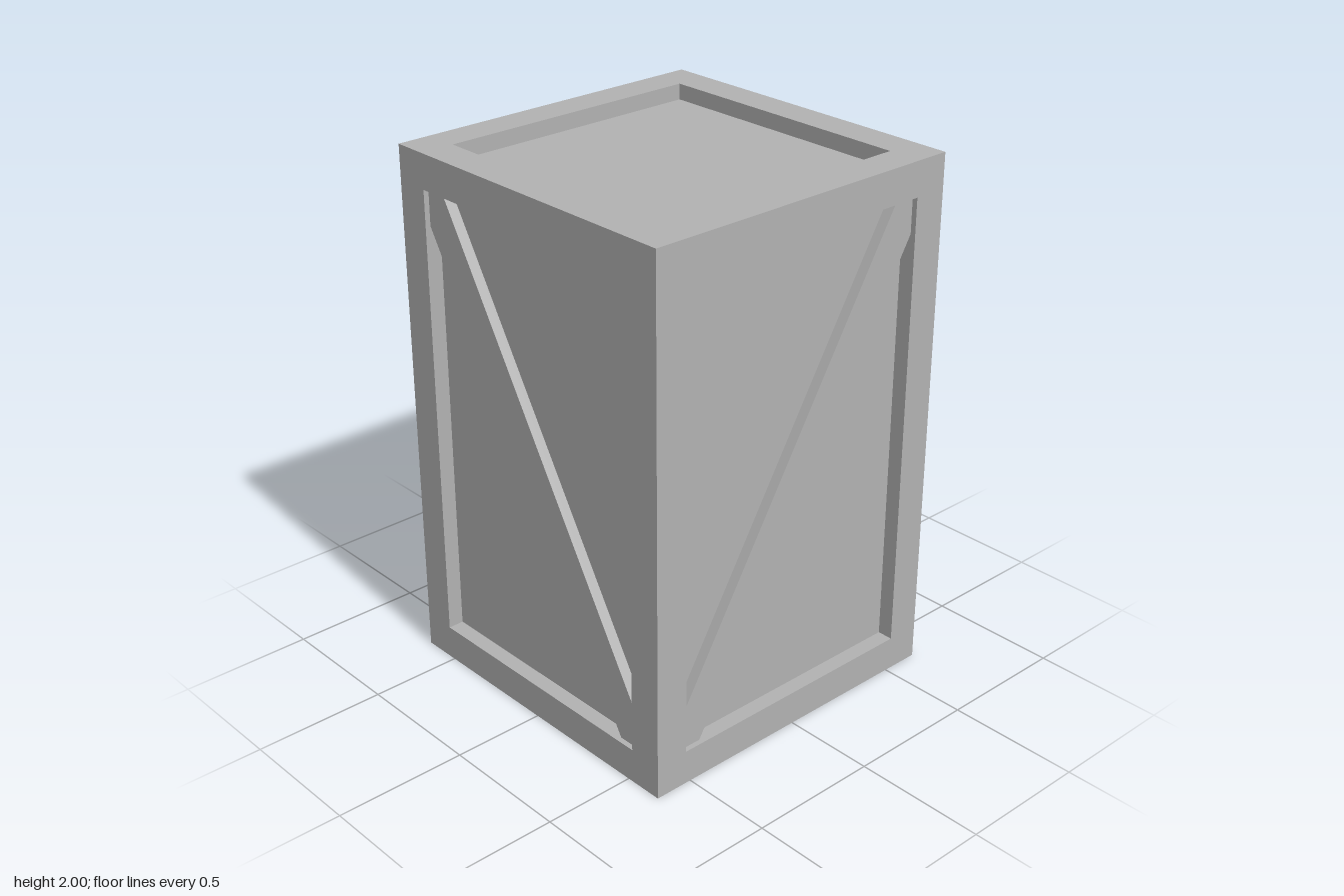
import * as THREE from 'three';

const HALF = 0.65, HEIGHT = 2, RIM = 0.13, DEPTH = 0.06, BRACE_INSET = 0.02;

function rectangle(Type, w, h) {
  return new Type([[-w, -h], [w, -h], [w, h], [-w, h]].map(([x, y]) => new THREE.Vector2(x, y)));
}

// One side of the open-bottomed shell: flat rim, sunken panel and optional diagonal brace.
// Built in the xy plane, centred, with the outside facing +z.
function makeSide(name, h, withBrace, material) {
  const side = new THREE.Group();
  side.name = name;
  const add = (partName, geometry) => {
    const mesh = new THREE.Mesh(geometry, material);
    mesh.name = partName;
    side.add(mesh);
    return mesh;
  };
  const iw = HALF - RIM, ih = h - RIM;

  // Flat rim
  const rim = rectangle(THREE.Shape, HALF, h);
  rim.holes.push(rectangle(THREE.Path, iw, ih));
  add('rim', new THREE.ShapeGeometry(rim));

  // Sunken panel
  add('panel', new THREE.PlaneGeometry(2 * iw, 2 * ih)).position.z = -DEPTH;

  // Four inner edges joining the rim to the panel
  for (const s of [-1, 1]) {
    const upright = add('sideReveal', new THREE.PlaneGeometry(DEPTH, 2 * ih));
    upright.position.set(s * iw, 0, -DEPTH / 2);
    upright.rotation.y = -s * Math.PI / 2;
    const ledge = add('endReveal', new THREE.PlaneGeometry(2 * iw, DEPTH));
    ledge.position.set(0, s * ih, -DEPTH / 2);
    ledge.rotation.x = s * Math.PI / 2;
  }

  // Diagonal brace from upper left to lower right, trimmed to the opening
  if (withBrace) {
    const cutX = 0.44, cutY = ih - 0.135;
    const half = [[-iw, cutY], [-iw, ih], [-cutX, ih]];
    const outline = [...half, ...half.map(([x, y]) => [-x, -y])];
    const shape = new THREE.Shape(outline.map(([x, y]) => new THREE.Vector2(x, y)));
    const brace = add('brace', new THREE.ExtrudeGeometry(shape, {
      depth: DEPTH - BRACE_INSET, bevelEnabled: false,
    }));
    brace.position.z = -DEPTH;
  }
  return side;
}

export function createModel() {
  const model = new THREE.Group();
  model.name = 'crate';
  const grey = new THREE.MeshStandardMaterial({ color: 0xb2b2b2, side: THREE.DoubleSide });
  grey.name = 'grey';

  // Four walls; the braces on the front and back mirror those on the sides
  ['front', 'right', 'back', 'left'].forEach((name, i) => {
    const wall = makeSide(name + 'Wall', HEIGHT / 2, true, grey);
    const angle = i * Math.PI / 2;
    wall.rotation.y = angle;
    wall.position.set(Math.sin(angle) * HALF, HEIGHT / 2, Math.cos(angle) * HALF);
    if (i % 2) wall.getObjectByName('brace').scale.x = -1;
    model.add(wall);
  });

  // Lid
  const lid = makeSide('lid', HALF, false, grey);
  lid.rotation.x = -Math.PI / 2;
  lid.position.y = HEIGHT;
  model.add(lid);
  return model;
}
